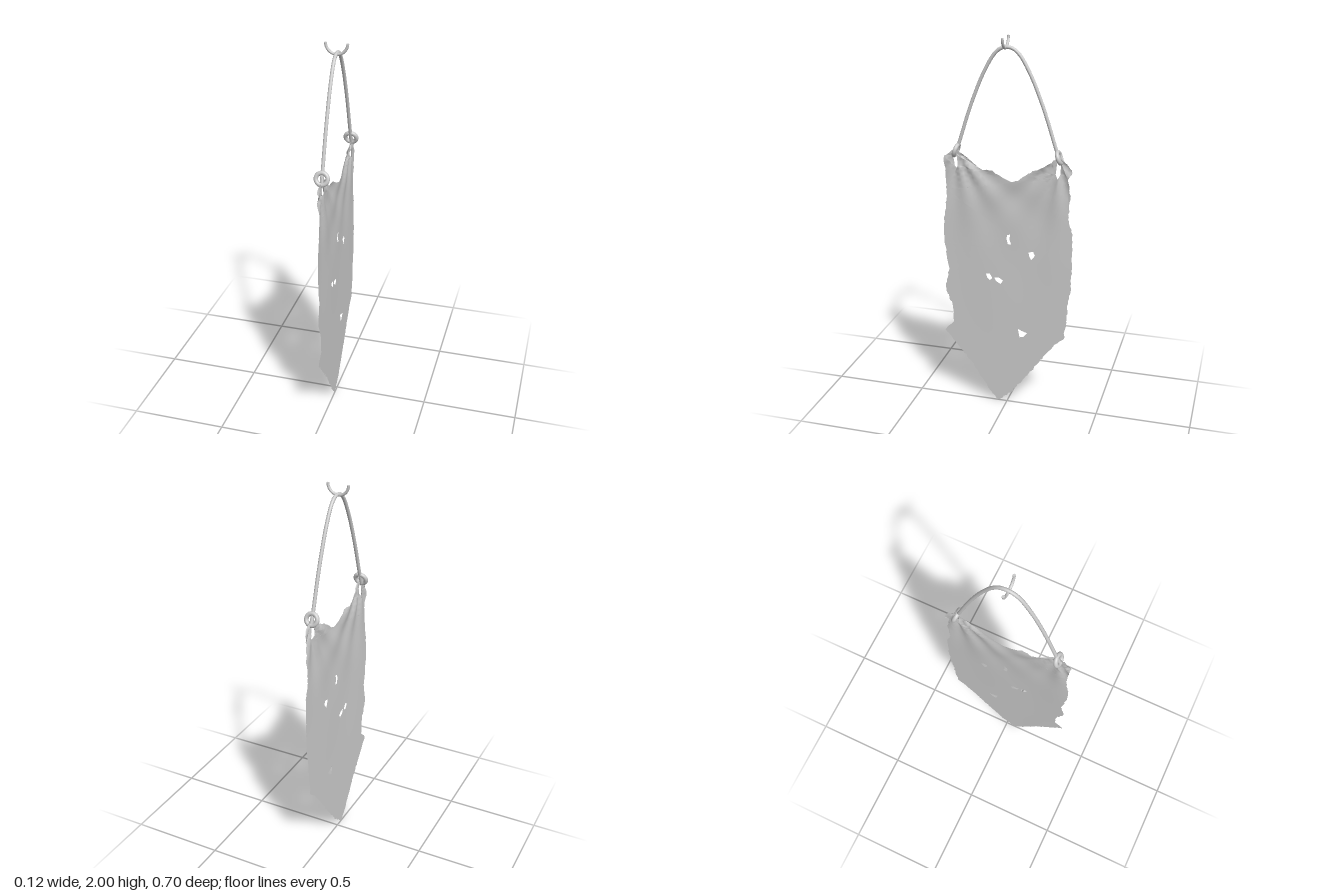
import * as THREE from 'three';
import { mergeVertices } from 'three/addons/utils/BufferGeometryUtils.js';

const material = new THREE.MeshStandardMaterial({ color: 0xcccccc });
const clothMaterial = new THREE.MeshStandardMaterial({ color: 0xcccccc, side: THREE.DoubleSide });

let seed = 7;
const rand = () => {
  seed = (seed * 16807) % 2147483647;
  return seed / 2147483647 - 0.5;
};

// Cloth outline, clockwise from the upper corner, as [z, y]
const outline = [
  [0.335, 1.385], [0.31, 1.4], [0.27, 1.432], [0.235, 1.405], [0.17, 1.35], [0.13, 1.322],
  [0.08, 1.328], [0.035, 1.3], [-0.02, 1.275], [-0.06, 1.285], [-0.11, 1.325], [-0.17, 1.355],
  [-0.23, 1.39], [-0.275, 1.432], [-0.31, 1.39], [-0.335, 1.345], [-0.315, 1.31], [-0.33, 1.21],
  [-0.32, 1.1], [-0.345, 1.02], [-0.345, 0.75], [-0.33, 0.65], [-0.325, 0.55], [-0.31, 0.425],
  [-0.255, 0.375], [-0.18, 0.27], [-0.115, 0.18], [-0.02, 0.06], [0.05, 0.004], [0.1, 0.06],
  [0.14, 0.125], [0.19, 0.205], [0.27, 0.3], [0.35, 0.395], [0.3, 0.45], [0.305, 0.54],
  [0.343, 0.655], [0.32, 0.76], [0.345, 0.92], [0.345, 1.01], [0.325, 1.16], [0.33, 1.315],
];

// Torn holes and the slits pulled open below the rings
const holes = [
  [[0, 0.985], [-0.018, 0.99], [-0.013, 0.965], [-0.022, 0.935], [-0.005, 0.935], [0.002, 0.96]],
  [[-0.115, 0.9], [-0.14, 0.905], [-0.15, 0.885], [-0.13, 0.858], [-0.12, 0.875]],
  [[0.115, 0.755], [0.095, 0.76], [0.08, 0.735], [0.095, 0.72], [0.108, 0.735]],
  [[0.07, 0.74], [0.04, 0.74], [0.022, 0.725], [0.035, 0.705], [0.06, 0.72]],
  [[-0.06, 0.455], [-0.08, 0.445], [-0.112, 0.435], [-0.09, 0.41], [-0.07, 0.405]],
  [[0.282, 1.395], [0.262, 1.395], [0.26, 1.34], [0.268, 1.325], [0.278, 1.335]],
  [[-0.258, 1.395], [-0.278, 1.395], [-0.275, 1.33], [-0.263, 1.308], [-0.25, 1.33]],
];

// Split each edge into short pieces with a frayed offset
function fray(points) {
  const result = [];
  points.forEach(([z, y], i) => {
    const [z2, y2] = points[(i + 1) % points.length];
    const n = Math.max(1, Math.round(Math.hypot(z2 - z, y2 - y) / 0.014));
    for (let k = 0; k < n; k++) {
      const t = k / n, j = k ? 0.008 : 0;
      result.push(new THREE.Vector2(-(z + (z2 - z) * t + rand() * j), y + (y2 - y) * t + rand() * j));
    }
  });
  return result;
}

// Halve the longest edge until every triangle is small enough to fold
function split(a, b, c, max, out) {
  const ab = a.distanceTo(b), bc = b.distanceTo(c), ca = c.distanceTo(a);
  const longest = Math.max(ab, bc, ca);
  if (longest < max) {
    out.push(a, b, c);
    return;
  }
  if (longest === bc) [a, b, c] = [b, c, a];
  else if (longest === ca) [a, b, c] = [c, a, b];
  const m = a.clone().add(b).multiplyScalar(0.5);
  split(a, m, c, max, out);
  split(m, b, c, max, out);
}

// Creases fan out downward from the two hanging points and fade away
function fold(u, y) {
  let h = 0;
  for (const side of [-1, 1]) {
    const du = u - side * 0.27, dy = 1.42 - y;
    const d = Math.hypot(du, dy);
    const angle = Math.atan2(-side * du, dy);
    h += 0.01 * Math.min(1, d / 0.08) * Math.exp(-d * 4) * Math.sin(angle * 13 + side);
  }
  return h + 0.002 * Math.sin(u * 11 + y * 3) * y / 1.4;
}

function clothGeometry() {
  const shape = new THREE.Shape(fray(outline));
  holes.forEach(h => shape.holes.push(new THREE.Path(h.map(([z, y]) => new THREE.Vector2(-z, y)))));
  const flat = new THREE.ShapeGeometry(shape).toNonIndexed().attributes.position;
  const corner = i => new THREE.Vector3().fromBufferAttribute(flat, i);
  const points = [];
  for (let i = 0; i < flat.count; i += 3) split(corner(i), corner(i + 1), corner(i + 2), 0.03, points);
  points.forEach(p => { p.z = fold(p.x, p.y); });
  const geometry = mergeVertices(new THREE.BufferGeometry().setFromPoints(points), 1e-5);
  geometry.rotateY(Math.PI / 2);
  geometry.computeVertexNormals();
  return geometry;
}

export function createModel() {
  const group = new THREE.Group();
  const add = (name, geometry, mat = material) => {
    const mesh = new THREE.Mesh(geometry, mat);
    mesh.name = name;
    group.add(mesh);
    return mesh;
  };

  add('tatteredCloth', clothGeometry(), clothMaterial);

  // Arched hanger between the rings
  const half = [[0.274, 1.395], [0.245, 1.48], [0.205, 1.605], [0.165, 1.715], [0.12, 1.82], [0.065, 1.915], [0.03, 1.945]];
  const path = [...half, [0, 1.951], ...half.slice().reverse().map(([z, y]) => [-z, y])];
  const curve = new THREE.CatmullRomCurve3(path.map(([z, y]) => new THREE.Vector3(0, y, z)));
  add('hangerArch', new THREE.TubeGeometry(curve, 64, 0.009, 12));

  for (const side of [-1, 1]) {
    // Rounded arch ends
    add('archEnd', new THREE.SphereGeometry(0.009, 12, 8)).position.set(0, 1.395, side * 0.274);

    // Tilted ring threaded through the cloth
    const ring = add('ring', new THREE.TorusGeometry(0.029, 0.011, 12, 32));
    ring.position.set(0, 1.42, side * 0.268);
    ring.rotation.x = -side * 0.33;

    // Caps of the open hook
    const cap = add('hookEnd', new THREE.CircleGeometry(0.007, 12));
    cap.position.set(side * 0.054, 2, 0.008);
    cap.rotation.x = -Math.PI / 2;
  }

  // Open hook carrying the arch
  const hook = add('hook', new THREE.TorusGeometry(0.054, 0.007, 12, 24, Math.PI));
  hook.position.set(0, 2, 0.008);
  hook.rotation.z = Math.PI;

  return group;
}
